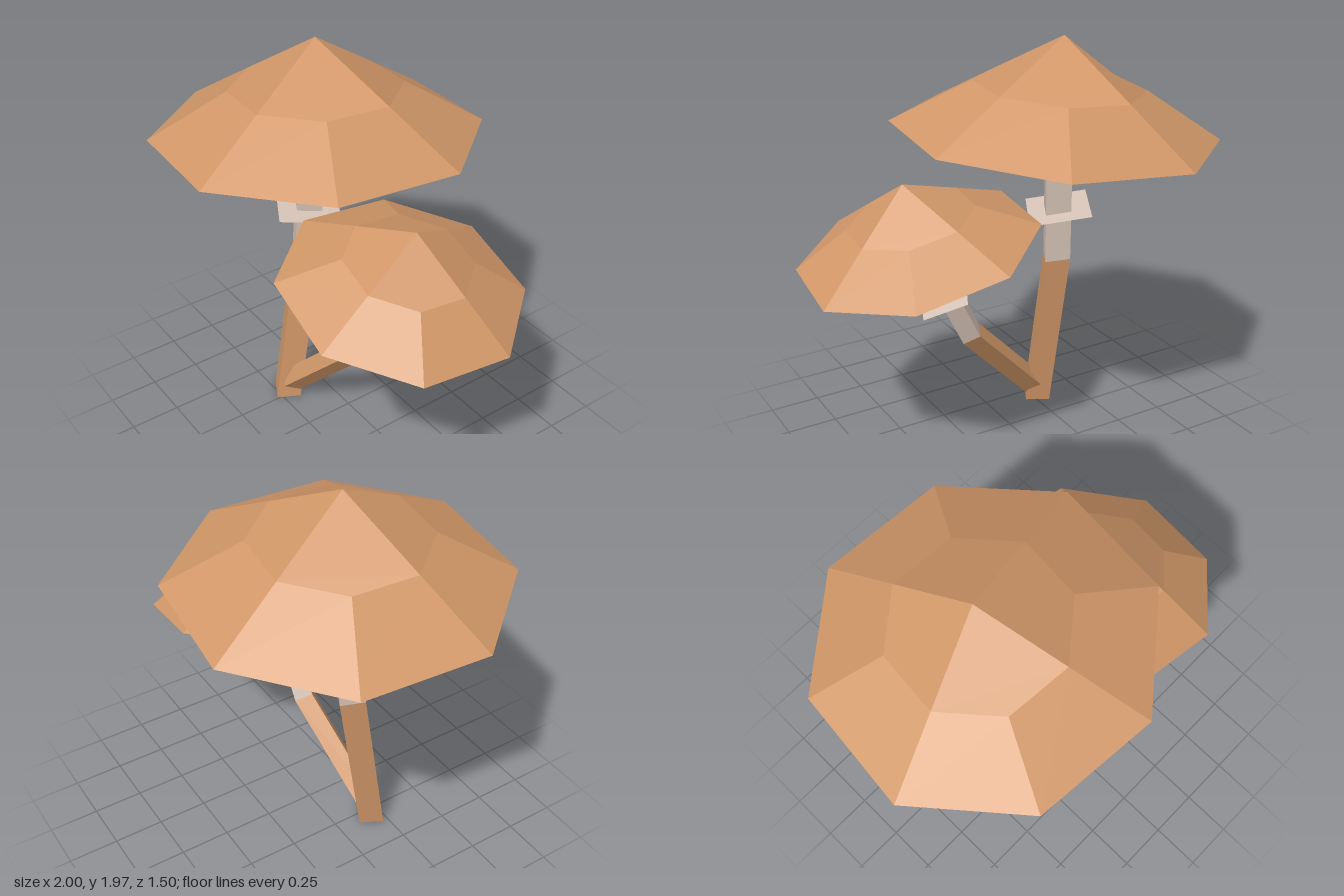
import * as THREE from 'three';

const V = (x, y, z) => new THREE.Vector3(x, y, z);
const UP = V(0, 1, 0);
const TURN = -0.295; // shared heading of caps, stems and rings

const capBrown = new THREE.MeshStandardMaterial({ color: 0xd19768, side: THREE.DoubleSide });
capBrown.name = 'capBrown';
const paleStem = new THREE.MeshStandardMaterial({ color: 0xd6c3b7, side: THREE.DoubleSide });
paleStem.name = 'paleStem';

// Ring of n corners around a centre, in the plane facing the normal
function loop(center, normal, radius, n) {
  const q = new THREE.Quaternion().setFromUnitVectors(UP, normal.clone().normalize());
  return Array.from({ length: n }, (_, i) => {
    const a = TURN - (i / n) * Math.PI * 2;
    return V(Math.cos(a) * radius, 0, Math.sin(a) * radius).applyQuaternion(q).add(center);
  });
}

// Mesh from quads [a, b, c, d], split along b-d, with one normal per quad
function quadMesh(name, quads, material) {
  const pos = [], nor = [];
  for (const [a, b, c, d] of quads) {
    const n = c.clone().sub(a).cross(d.clone().sub(b)).normalize();
    for (const p of [a, b, d, b, c, d]) {
      pos.push(p.x, p.y, p.z);
      nor.push(n.x, n.y, n.z);
    }
  }
  const g = new THREE.BufferGeometry();
  g.setAttribute('position', new THREE.Float32BufferAttribute(pos, 3));
  g.setAttribute('normal', new THREE.Float32BufferAttribute(nor, 3));
  const mesh = new THREE.Mesh(g, material);
  mesh.name = name;
  return mesh;
}

// Open cap: four kites at the peak, eight panels down to the rim
function cap(name, center, normal, radius, height) {
  const n = normal.clone().normalize();
  const apex = center.clone().addScaledVector(n, height);
  const mid = loop(center.clone().addScaledVector(n, height * 0.48), n, radius * 0.522, 8);
  const rim = loop(center, n, radius, 8);
  const quads = [];
  for (let i = 0; i < 8; i++) {
    const j = (i + 1) % 8;
    quads.push([mid[i], rim[i], rim[j], mid[j]]);
    if (i % 2 === 0) quads.push([apex, mid[i], mid[j], mid[(i + 2) % 8]]);
  }
  return quadMesh(name, quads, capBrown);
}

// Square stem section between two corner loops
function stem(name, low, high, material, end) {
  const quads = low.map((p, i) => {
    const j = (i + 1) % 4;
    return [p, low[j], high[j], high[i]];
  });
  quads.push(end === 'top' ? high : [...low].reverse());
  return quadMesh(name, quads, material);
}

function mushroom(name, s) {
  const g = new THREE.Group();
  g.name = name;
  const [base, bend, top] = s.path.map(([p, n]) => loop(p, n, s.stemRadius, 4));
  g.add(
    stem('lowerStem', base, bend, capBrown, 'bottom'),
    stem('upperStem', bend, top, paleStem, 'top'),
    quadMesh('stemRing', [loop(s.ring[0], s.ring[1], s.ringRadius, 4)], paleStem),
    cap('cap', s.capCenter, s.capNormal, s.capRadius, s.capHeight),
  );
  return g;
}

export function createModel() {
  const model = new THREE.Group();
  model.name = 'mushroomPair';
  model.add(
    mushroom('tallMushroom', {
      path: [
        [V(-0.283, 0, 0.195), UP],
        [V(-0.297, 0.86, 0.045), V(0.17, 1, -0.05)],
        [V(-0.27, 1.7, 0), V(0.03, 1, -0.05)],
      ],
      stemRadius: 0.087,
      ring: [V(-0.292, 1.113, 0.032), V(0.19, 1, -0.03)],
      ringRadius: 0.214,
      capCenter: V(-0.25, 1.52, -0.002),
      capNormal: V(-0.063, 1, -0.035),
      capRadius: 0.785,
      capHeight: 0.45,
    }),
    mushroom('smallMushroom', {
      path: [
        [V(-0.245, 0.09, 0.185), V(0.67, 0.74, -0.12)],
        [V(0.175, 0.527, 0.08), V(0.56, 0.8, -0.08)],
        [V(0.487, 1.16, 0.05), V(0.44, 0.9, -0.03)],
      ],
      stemRadius: 0.066,
      ring: [V(0.328, 0.767, 0.055), V(0.48, 1, -0.04)],
      ringRadius: 0.16,
      capCenter: V(0.465, 1.06, 0.04),
      capNormal: V(0.23, 1, -0.033),
      capRadius: 0.575,
      capHeight: 0.328,
    }),
  );
  return model;
}
